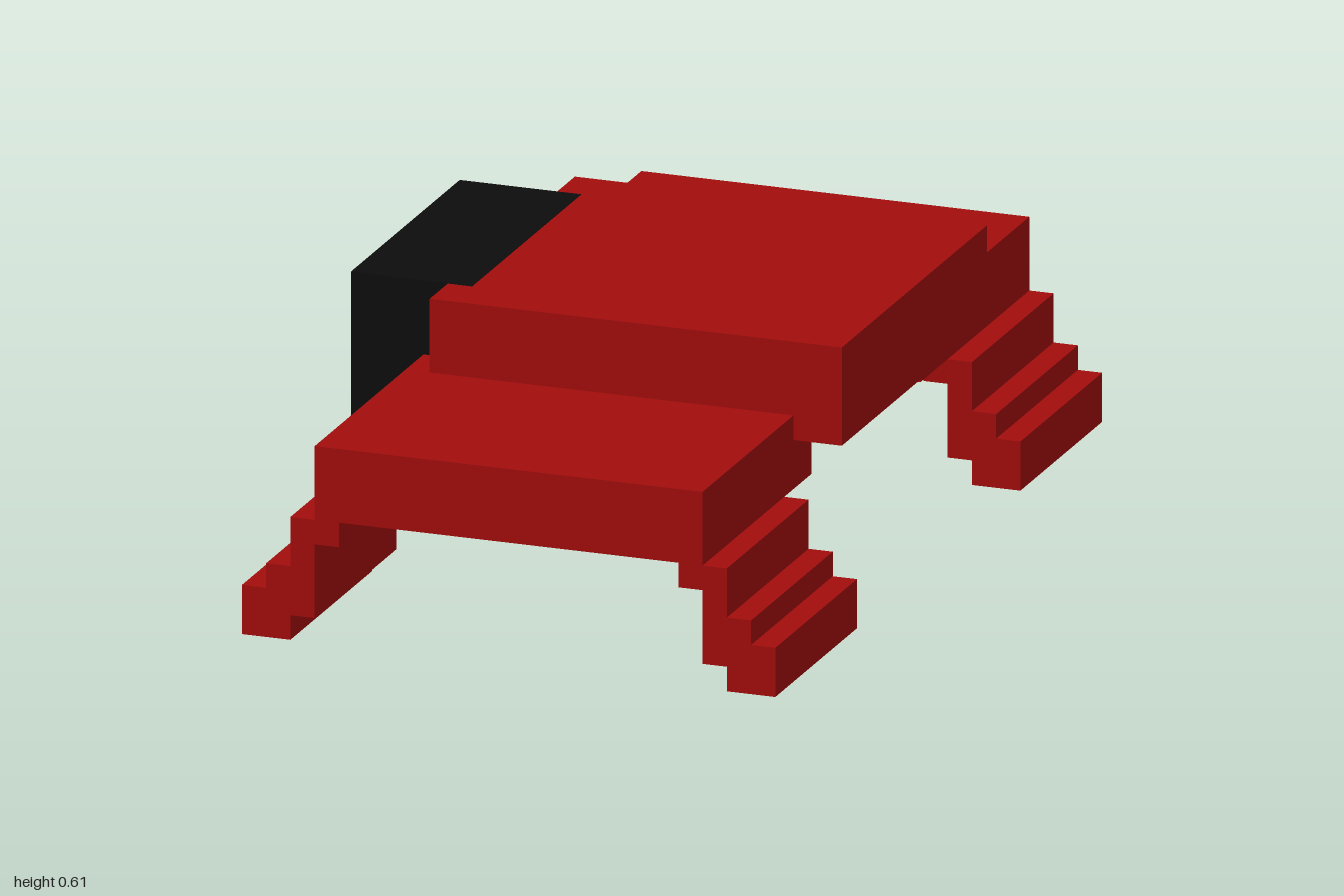
import * as THREE from 'three';

// The model sits on a grid of blocks, 36 blocks long
const U = 1 / 18;

export function createModel() {
  const group = new THREE.Group();
  const red = new THREE.MeshStandardMaterial({ color: 0xa20d0d });
  red.name = 'red';
  const black = new THREE.MeshStandardMaterial({ color: 0x0d0d0d });
  black.name = 'black';

  // Box given by its limits in blocks
  function box(name, mat, [x0, x1], [y0, y1], [z0, z1]) {
    const geo = new THREE.BoxGeometry((x1 - x0) * U, (y1 - y0) * U, (z1 - z0) * U);
    const mesh = new THREE.Mesh(geo, mat);
    mesh.position.set((x0 + x1) * U / 2, (y0 + y1) * U / 2, (z0 + z1) * U / 2);
    mesh.name = name;
    group.add(mesh);
  }

  // Raised centre slab and side block (its top a hair above the slab)
  box('centreSlab', red, [-7, 10], [7, 11], [-8, 8]);
  box('sideBlock', black, [-11, -6], [3, 11.02], [-6, 6]);

  // Front and back plates, leaving a gap under the centre slab
  box('frontPlate', red, [-8, 8], [5, 8], [6, 18]);
  box('backPlate', red, [-8, 8], [5, 8], [-18, -6]);

  // Stepped leg outline, seen from the front on the left side
  const steps = [[9, 0], [11, 0], [11, 2], [10, 2], [10, 3], [9, 3], [9, 5],
    [7, 5], [7, 4], [8, 4], [8, 1], [9, 1]];

  // Four legs: the right pair mirrors the left pair
  for (const side of [1, -1]) {
    const shape = new THREE.Shape(steps.map(([x, y]) => new THREE.Vector2(side * x * U, y * U)));
    const geo = new THREE.ExtrudeGeometry(shape, { depth: 9 * U, bevelEnabled: false });
    for (const [end, z] of [['front', 9], ['back', -18]]) {
      const leg = new THREE.Mesh(geo, red);
      leg.position.z = z * U;
      leg.name = end + (side > 0 ? 'Left' : 'Right') + 'Leg';
      group.add(leg);
    }
  }
  return group;
}
